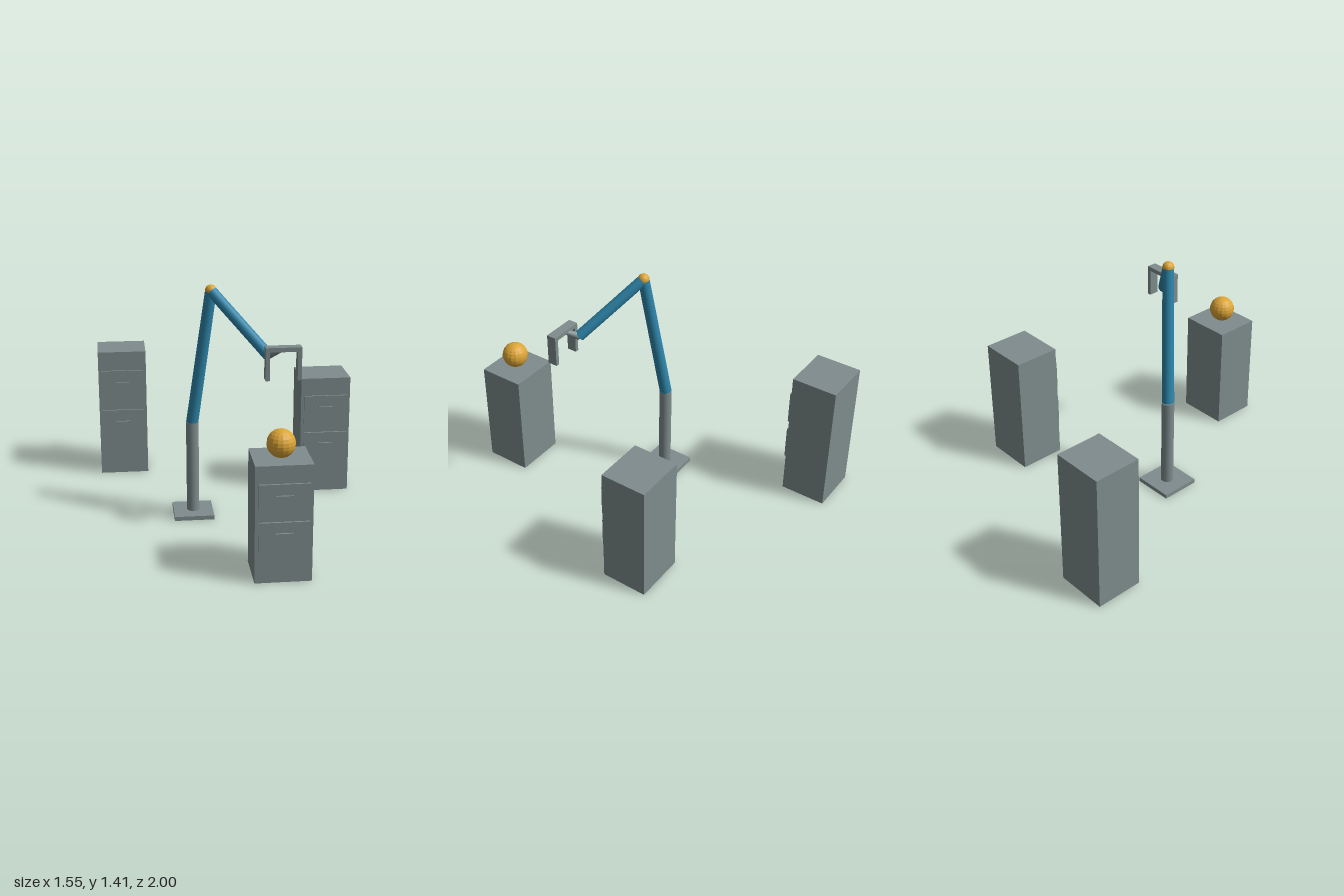
import * as THREE from 'three';

const grey = new THREE.MeshStandardMaterial({ color: 0x7f8c8d });
grey.name = 'steelGrey';
const blue = new THREE.MeshStandardMaterial({ color: 0x2e86ab });
blue.name = 'armBlue';
const gold = new THREE.MeshStandardMaterial({ color: 0xdca536 });
gold.name = 'gold';

function add(parent, name, geometry, material, x = 0, y = 0, z = 0) {
  const mesh = new THREE.Mesh(geometry, material);
  mesh.name = name;
  mesh.position.set(x, y, z);
  parent.add(mesh);
  return mesh;
}

// Box given by its size and centre
function box(parent, name, w, h, d, x, y, z) {
  return add(parent, name, new THREE.BoxGeometry(w, h, d), grey, x, y, z);
}

// Faceted sphere
function ball(parent, name, r, p) {
  const g = new THREE.SphereGeometry(r, 16, 12).toNonIndexed();
  g.computeVertexNormals();
  return add(parent, name, g, gold, p.x, p.y, p.z);
}

// Round bar between two points, r0 at the start and r1 at the end
function bar(parent, name, a, b, r0, r1, material) {
  const dir = b.clone().sub(a);
  const g = new THREE.CylinderGeometry(r1, r0, dir.length(), 20);
  const mesh = add(parent, name, g, material);
  mesh.position.copy(a).add(b).multiplyScalar(0.5);
  mesh.quaternion.setFromUnitVectors(new THREE.Vector3(0, 1, 0), dir.normalize());
  return mesh;
}

// Cabinet with two drawers whose layout scales with its height
function cabinet(parent, name, x, front, h) {
  const group = new THREE.Group();
  group.name = name;
  group.position.set(x, 0, front);
  parent.add(group);
  box(group, 'cabinetBody', 0.305, h, 0.276, 0, h / 2, -0.138);
  for (const [label, drawerY, handleY] of [['upper', 0.728, 0.752], ['lower', 0.406, 0.433]]) {
    box(group, label + 'Drawer', 0.27, h * 0.25, 0.011, 0, h * drawerY, 0.0115);
    box(group, label + 'Handle', 0.09, h * 0.016, 0.011, 0, h * handleY, 0.0225);
  }
}

export function createModel() {
  const model = new THREE.Group();
  model.name = 'robotArmStation';

  cabinet(model, 'tallCabinet', -0.622, -0.724, 0.82);
  cabinet(model, 'middleCabinet', 0.62, -0.272, 0.737);
  cabinet(model, 'frontCabinet', 0.168, 0.972, 0.652);
  ball(model, 'ball', 0.077, new THREE.Vector3(0.167, 0.728, 0.845));

  // Arm, from the floor plate to the wrist
  const arm = new THREE.Group();
  arm.name = 'arm';
  model.add(arm);
  const foot = new THREE.Vector3(-0.228, 0.025, 0);
  const shoulder = new THREE.Vector3(-0.228, 0.577, 0);
  const elbow = new THREE.Vector3(-0.122, 1.377, 0.088);
  const wrist = new THREE.Vector3(0.17, 1.06, 0.332);
  const grip = new THREE.Vector3(0.244, 1.11, 0.394);
  box(arm, 'basePlate', 0.235, 0.025, 0.235, -0.228, 0.0125, 0);
  bar(arm, 'post', foot, shoulder, 0.037, 0.037, grey);
  bar(arm, 'lowerArm', shoulder, elbow, 0.036, 0.033, blue);
  ball(arm, 'elbowJoint', 0.034, elbow);
  bar(arm, 'upperArm', elbow, wrist, 0.032, 0.032, blue);
  bar(arm, 'wristRod', wrist, grip, 0.023, 0.013, grey);

  // Gripper with a crossbar and two fingers
  const gripper = new THREE.Group();
  gripper.name = 'gripper';
  gripper.position.copy(grip);
  arm.add(gripper);
  box(gripper, 'crossbar', 0.2, 0.025, 0.058, 0, 0, 0);
  for (const side of [-1, 1]) {
    box(gripper, side < 0 ? 'rightFinger' : 'leftFinger', 0.023, 0.161, 0.058, side * 0.0885, -0.093, 0);
  }
  return model;
}
